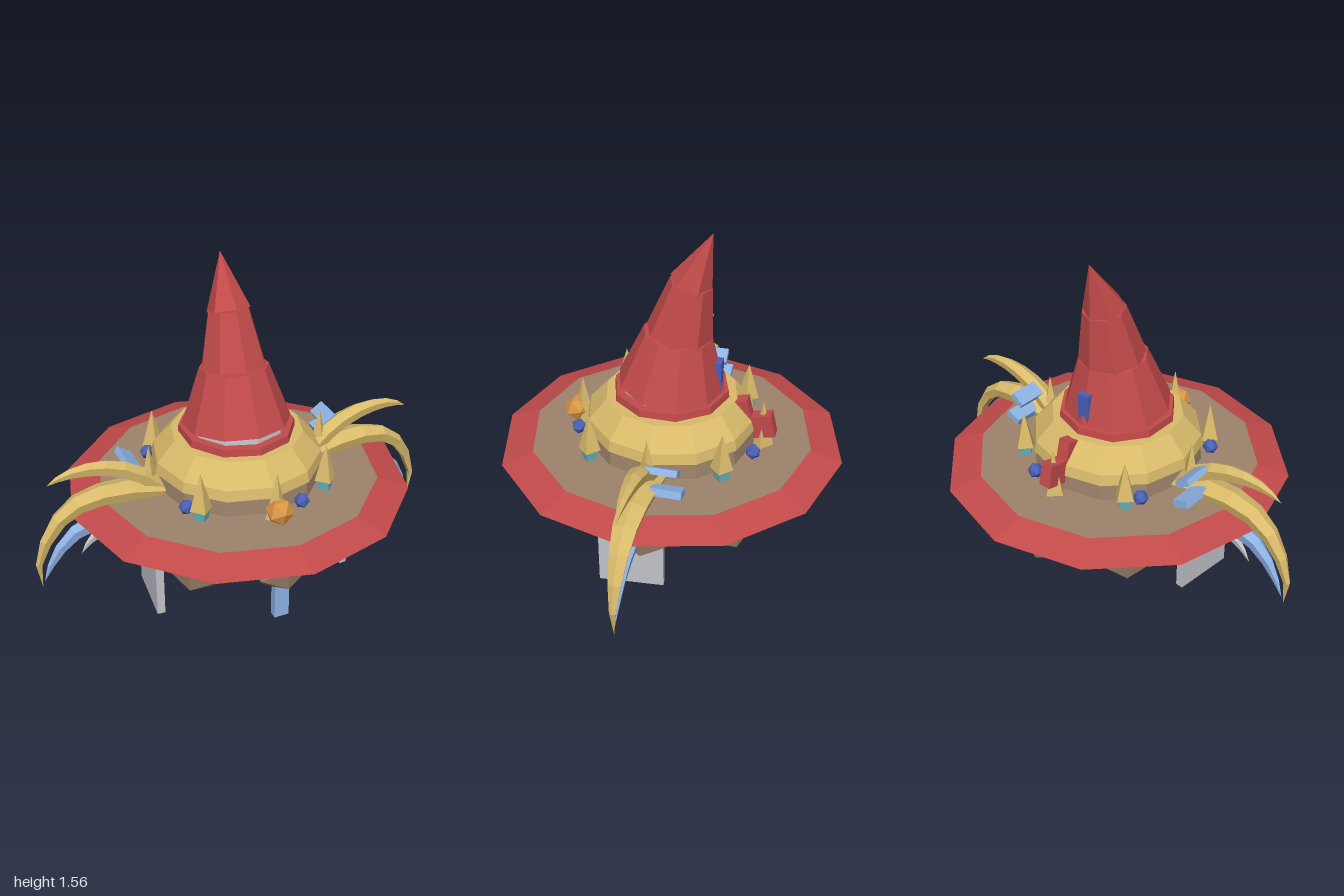
import * as THREE from 'three';

const mat = (name, color) => {
  const m = new THREE.MeshStandardMaterial({ color, flatShading: true });
  m.name = name;
  return m;
};

// Tapered limb with a ridged back that follows a path in the xy plane
function clawGeometry(points, width, thickness) {
  const curve = new THREE.CatmullRomCurve3(points.map(([x, y]) => new THREE.Vector3(x, y, 0)));
  const section = [[1, 0], [0.35, 1], [-1, 0.8], [-1, -0.8], [0.35, -1]];
  const steps = 7, n = section.length, pos = [], index = [];
  for (let i = 0; i <= steps; i++) {
    const t = i / steps;
    const p = curve.getPoint(t), d = curve.getTangent(t);
    const h = thickness * (1 - Math.pow(t, 3)), w = width * (1 - Math.pow(t, 1.4));
    for (const [a, b] of section) pos.push(p.x - d.y * h * a, p.y + d.x * h * a, w * b);
  }
  for (let i = 0; i < steps; i++) {
    for (let j = 0; j < n; j++) {
      const a = i * n + j, b = i * n + (j + 1) % n;
      index.push(a, b, b + n, a, b + n, a + n);
    }
  }
  const g = new THREE.BufferGeometry();
  g.setAttribute('position', new THREE.Float32BufferAttribute(pos, 3));
  g.setIndex(index);
  const flat = g.toNonIndexed();
  flat.computeVertexNormals();
  return flat;
}

export function createModel() {
  const root = new THREE.Group();
  root.name = 'hatHouse';

  const red = mat('red', 0xc24a4a);
  const gold = mat('gold', 0xdabb6b);
  const brown = mat('brown', 0x8c7460);
  const tan = mat('tan', 0x9c836b);
  const silver = mat('silver', 0xc2c3ca);
  const blue = mat('blue', 0x8eb2e4);
  const navy = mat('navy', 0x4a60b6);
  const orange = mat('orange', 0xda9544);
  const cyan = mat('cyan', 0x86d8e0);
  const teal = mat('teal', 0x62aab4);

  const add = (name, geo, material, x = 0, y = 0, z = 0, rx = 0, ry = 0, rz = 0, parent = root) => {
    const m = new THREE.Mesh(geo, material);
    m.name = name;
    m.position.set(x, y, z);
    m.rotation.set(rx, ry, rz);
    parent.add(m);
    return m;
  };
  const box = (w, h, d) => new THREE.BoxGeometry(w, h, d);
  const cyl = (rt, rb, h, n) => new THREE.CylinderGeometry(rt, rb, h, n);
  const gem = r => new THREE.IcosahedronGeometry(r, 0);

  // Base slab with a ring of boulders
  add('baseSlab', cyl(0.45, 0.45, 0.08, 16), brown, 0, 0.29, 0);
  for (let i = 0; i < 8; i++) {
    const a = i * Math.PI / 4;
    const rock = add('boulder', gem(0.137), brown, Math.sin(a) * 0.462, 0.29, Math.cos(a) * 0.462, 0, a, 0);
    rock.scale.set(1, 0.66, 0.9);
  }

  // Body, brim, band and dome
  add('body', cyl(0.435, 0.46, 0.2, 10), gold, 0, 0.42, 0);
  add('brim', cyl(0.655, 0.8, 0.048, 12), [red, tan, red], 0, 0.516, 0);
  add('band', cyl(0.385, 0.395, 0.1, 12), tan, 0, 0.58, 0);
  const domeProfile = [[0, 0.62], [0.4, 0.62], [0.39, 0.67], [0.305, 0.765], [0, 0.765]];
  add('dome', new THREE.LatheGeometry(domeProfile.map(([x, y]) => new THREE.Vector2(x, y)), 12), gold);

  // Pointed hat in three sections, leaning further back towards the tip
  add('hatRing', cyl(0.265, 0.27, 0.045, 10), red, 0, 0.777, 0);
  add('hatLiner', cyl(0.222, 0.228, 0.05, 10), silver, 0, 0.812, 0);
  add('hatLower', cyl(0.157, 0.249, 0.262, 10), red, 0, 0.94, -0.016, -0.11);
  add('hatMiddle', cyl(0.096, 0.153, 0.258, 8), red, 0, 1.193, -0.062, -0.2);
  add('hatTip', new THREE.ConeGeometry(0.099, 0.258, 6), red, 0, 1.436, -0.133, -0.36);
  add('hatBackPeg', box(0.055, 0.16, 0.035), navy, 0, 0.87, -0.216);

  // Stepped flap at the back
  add('flapUpper', box(0.06, 0.095, 0.075), red, 0, 0.72, -0.33, 0.25);
  add('flapLower', box(0.06, 0.11, 0.1), red, 0, 0.645, -0.43, 0.22);

  // Spikes around the band; the diagonal ones stand on small blocks
  for (let i = 0; i < 8; i++) {
    const a = i * Math.PI / 4, x = Math.sin(a) * 0.428, z = Math.cos(a) * 0.428;
    const bottom = i % 2 ? 0.587 : 0.54;
    add('spike', new THREE.ConeGeometry(0.052, 0.767 - bottom, 4), gold, x, (0.767 + bottom) / 2, z);
    if (i % 2) add('spikeBlock', box(0.054, 0.05, 0.054), teal, x, 0.563, z, 0, a);
  }

  // Gems and beads
  add('frontOrb', gem(0.064), orange, 0, 0.59, 0.46, 0.3);
  for (const s of [-1, 1]) add('smallOrb', gem(0.046), orange, s * 0.145, 0.38, 0.468, 0.3);
  add('gemUpper', gem(0.058), cyan, 0, 0.44, 0.475);
  add('gemLower', gem(0.05), cyan, 0, 0.395, 0.472);
  for (const s of [-1, 1]) {
    add('bead', gem(0.036), navy, 0.133, 0.58, s * 0.41);
    add('bead', gem(0.036), navy, -0.35, 0.58, s * 0.253);
  }

  // Supports under the base
  for (const s of [-1, 1]) {
    add('leg', box(0.037, 0.31, 0.297), silver, s * 0.461, 0.155, 0.07, 0, s * 0.09);
  }
  add('frontPost', box(0.07, 0.27, 0.04), blue, 0, 0.18, 0.485);

  // Claws, the same on both sides, and the tilted slabs behind them
  const upper = [[0.38, 0.56], [0.5, 0.66], [0.62, 0.71], [0.73, 0.725], [0.83, 0.712], [0.9, 0.68]];
  const lower = [[0.38, 0.55], [0.55, 0.58], [0.7, 0.578], [0.82, 0.535], [0.91, 0.43], [0.967, 0.3], [0.96, 0.15]];
  const inner = [[0.38, 0.4], [0.52, 0.445], [0.68, 0.45], [0.81, 0.4], [0.9, 0.29], [0.95, 0.18]];
  const lowest = [[0.4, 0.36], [0.53, 0.4], [0.63, 0.4], [0.71, 0.36], [0.77, 0.28]];
  for (const s of [1, -1]) {
    const side = new THREE.Group();
    side.name = s > 0 ? 'leftClaws' : 'rightClaws';
    side.rotation.y = s > 0 ? 0 : Math.PI;
    root.add(side);
    const claw = (name, path, w, t, m) => add(name, clawGeometry(path, w, t), m, 0, 0, 0, 0, 0, 0, side);
    claw('upperClaw', upper, 0.05, 0.033, gold);
    claw('lowerClaw', lower, 0.075, 0.036, gold);
    claw('innerClaw', inner, 0.055, 0.038, blue);
    claw('lowestClaw', lowest, 0.04, 0.032, silver);

    add('sideSlabTop', box(0.075, 0.03, 0.14), blue, s * 0.5, 0.672, -0.088, 0, 0, s * 0.6);
    add('sideSlabMiddle', box(0.075, 0.035, 0.14), blue, s * 0.51, 0.58, -0.11, 0, 0, s * 0.35);
    add('sideSlabLow', box(0.07, 0.04, 0.12), cyan, s * 0.48, 0.47, -0.15, 0, 0, s * 0.15);
  }
  return root;
}
